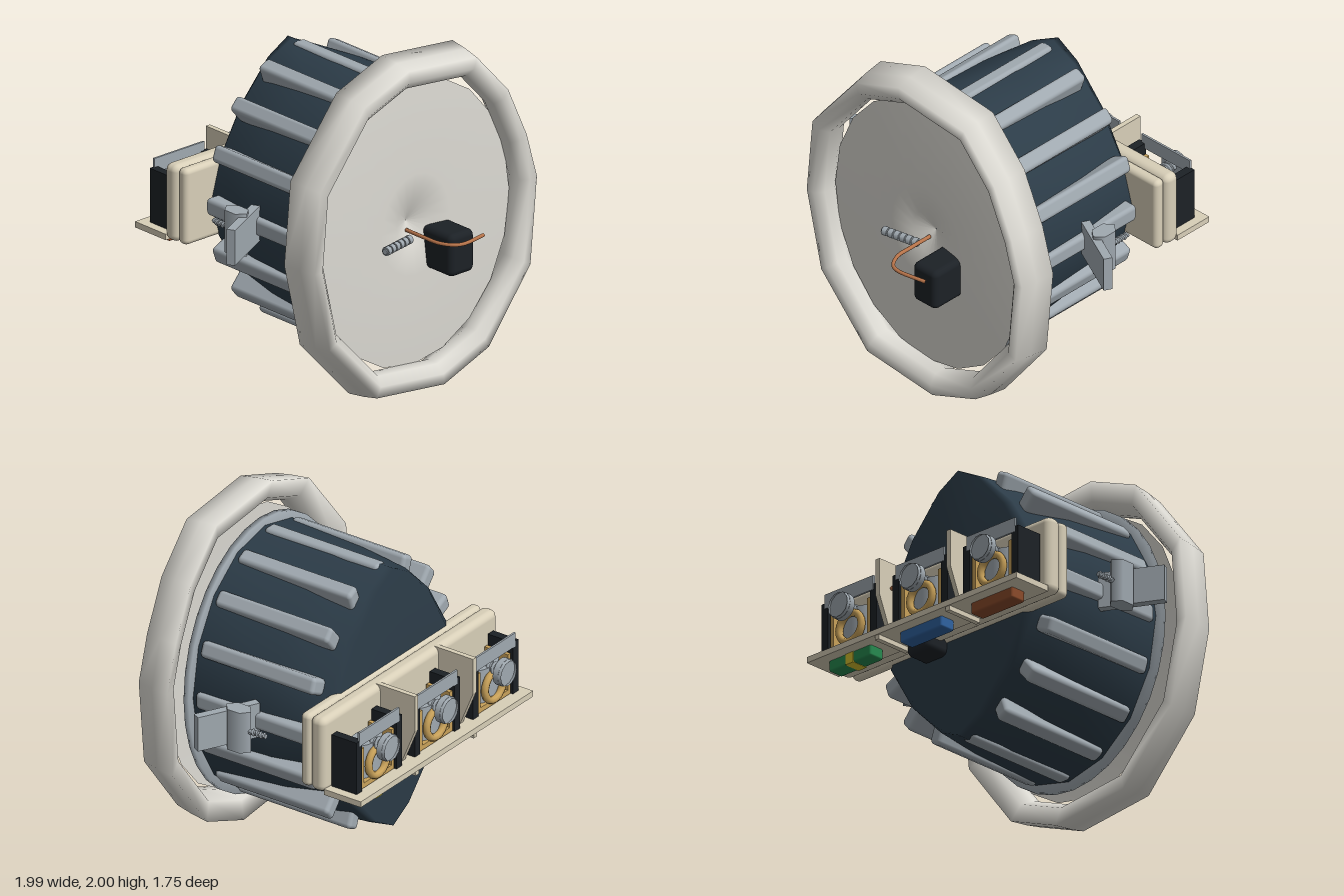
import * as THREE from 'three';
import { RoundedBoxGeometry } from 'three/addons/geometries/RoundedBoxGeometry.js';

const mat = (color, side = THREE.FrontSide) => new THREE.MeshStandardMaterial({ color, side });
const STEEL = mat(0xa0a9b0, THREE.DoubleSide), DARK = mat(0x2c3c48, THREE.DoubleSide), WHITE = mat(0xdcdad3, THREE.DoubleSide);
const CREAM = mat(0xd8cfb8), BLACK = mat(0x1c2126), BRASS = mat(0xc9a25a), COPPER = mat(0xb8744a);
const SQUASH = 0.85; // the lamp is narrower than it is tall

function add(parent, name, geometry, material, x = 0, y = 0, z = 0) {
  const mesh = new THREE.Mesh(geometry, material);
  mesh.name = name;
  mesh.position.set(x, y, z);
  parent.add(mesh);
  return mesh;
}

const box = (w, h, d) => new THREE.BoxGeometry(w, h, d);
const rounded = (w, h, d, r) => new RoundedBoxGeometry(w, h, d, 3, r);
const rod = (r, length, sides = 16) => new THREE.CylinderGeometry(r, r, length, sides).rotateX(Math.PI / 2);

// Revolve a list of [radius, z] around the z axis
function turned(profile, sides) {
  return new THREE.LatheGeometry(profile.map(([r, z]) => new THREE.Vector2(r, z)), sides).rotateX(Math.PI / 2);
}

// Skin a list of equal-length loops of [x, y, z]
function loft(loops, closeLast) {
  const n = loops.length, m = loops[0].length, index = [];
  for (let i = 0; i < (closeLast ? n : n - 1); i++) {
    for (let j = 0; j < m; j++) {
      const a = i * m + j, b = ((i + 1) % n) * m + j;
      const c = i * m + ((j + 1) % m), d = ((i + 1) % n) * m + ((j + 1) % m);
      index.push(a, c, b, b, c, d);
    }
  }
  const g = new THREE.BufferGeometry();
  g.setAttribute('position', new THREE.Float32BufferAttribute(loops.flat(2), 3));
  g.setIndex(index);
  g.computeVertexNormals();
  return g;
}

// Rim section swept around an uneven polygon
function trimGeometry() {
  const outline = [
    [-0.13, 1.0], [-0.47, 0.87], [-0.81, 0.44], [-0.855, -0.05], [-0.74, -0.55], [-0.376, -0.94],
    [0.14, -0.995], [0.48, -0.86], [0.80, -0.44], [0.85, 0.09], [0.77, 0.37], [0.63, 0.68], [0.39, 0.945],
  ];
  const section = [[1, 0.425], [0.985, 0.54], [0.965, 0.64], [0.9, 0.645], [0.85, 0.6], [0.845, 0.53], [0.89, 0.45]];
  return loft(outline.map(([x, y]) => section.map(([s, z]) => [x * s, y * s, z])), true);
}

// Oval at the front, narrowing to a lozenge at the back, closed by a low cap
function bodyGeometry() {
  const ring = (rx, ry, power, z) => Array.from({ length: 16 }, (_, i) => {
    const a = (i / 16) * Math.PI * 2, c = Math.cos(a), s = Math.sin(a);
    return [rx * Math.sign(c) * Math.abs(c) ** power, ry * Math.sign(s) * Math.abs(s) ** power, z];
  });
  return loft([
    ring(0.665, 0.79, 1, 0.39), ring(0.65, 0.795, 1.15, -0.1), ring(0.61, 0.8, 1.35, -0.45),
    ring(0.56, 0.8, 1.4, -0.49), ring(0.001, 0.001, 1, -0.49),
  ], false);
}

// Coil running along z, centred on the origin
function coil(radius, length, turns, wire) {
  const points = [];
  for (let i = 0; i <= turns * 10; i++) {
    const a = (i / 10) * Math.PI * 2;
    points.push(new THREE.Vector3(radius * Math.cos(a), radius * Math.sin(a), (i / (turns * 10) - 0.5) * length));
  }
  return new THREE.TubeGeometry(new THREE.CatmullRomCurve3(points), turns * 12, wire, 5);
}

function lampHousing() {
  const g = new THREE.Group();
  g.name = 'lampHousing';
  add(g, 'body', bodyGeometry(), DARK);
  const oval = new THREE.Group();
  oval.name = 'ovalParts';
  oval.scale.x = SQUASH;
  g.add(oval);
  add(oval, 'flange', turned([[0.74, 0.385], [0.83, 0.385], [0.83, 0.42], [0.74, 0.42]], 32), STEEL);
  add(oval, 'reflector', turned([[0.001, 0.47], [0.14, 0.53], [0.3, 0.555], [0.84, 0.53]], 20), WHITE);
  // Cooling fins
  for (let i = 0; i < 16; i++) {
    const a = (i / 16) * Math.PI * 2;
    const fin = add(oval, 'coolingFin', rounded(0.14, 0.1, 0.77, 0.025), STEEL,
      0.732 * Math.cos(a), 0.732 * Math.sin(a), -0.025);
    fin.rotation.z = a;
  }
  add(g, 'trimRing', trimGeometry(), WHITE);
  return g;
}

function springClip() {
  const g = new THREE.Group();
  g.name = 'mountingClip';
  const plate = add(g, 'clipPlate', box(0.38, 0.21, 0.05), STEEL, 0.815, 0.005, 0.045);
  plate.rotation.y = -0.47;
  const nut = new THREE.CylinderGeometry(0.058, 0.058, 0.25, 6);
  nut.scale(1, 1, 1.45);
  add(g, 'clipNut', nut, STEEL, 0.8, 0.005, -0.025);
  add(g, 'clipScrew', rod(0.014, 0.12, 8), STEEL, 0.8, 0.01, -0.15);
  add(g, 'clipThread', coil(0.014, 0.1, 4, 0.007), STEEL, 0.8, 0.01, -0.155);
  return g;
}

function terminal() {
  const g = new THREE.Group();
  g.name = 'terminal';
  for (const s of [-1, 1]) {
    add(g, 'terminalCheek', box(0.05, 0.32, 0.17), BLACK, s * 0.185, 0.97, -0.705);
    add(g, 'brassSide', box(0.025, 0.25, 0.16), BRASS, s * 0.14, 0.94, -0.7);
  }
  add(g, 'terminalCore', new THREE.CylinderGeometry(0.12, 0.12, 0.24, 20), STEEL, 0, 0.93, -0.7).scale.z = 0.6;
  add(g, 'brassWasher', new THREE.TorusGeometry(0.085, 0.022, 8, 20), BRASS, 0, 0.93, -0.78);
  add(g, 'brassFoot', box(0.29, 0.03, 0.16), BRASS, 0, 0.83, -0.7);
  add(g, 'clampPlate', box(0.37, 0.085, 0.012), STEEL, 0, 1.14, -0.785);
  // Slotted screw: a disc topped by two half discs
  add(g, 'screwShaft', rod(0.03, 0.17), STEEL, 0, 1.035, -0.755);
  add(g, 'screwThread', coil(0.032, 0.15, 5, 0.01), STEEL, 0, 1.035, -0.745);
  add(g, 'screwHead', rod(0.079, 0.035, 24), STEEL, 0, 1.035, -0.845);
  for (const s of [0, 1]) {
    const half = new THREE.CylinderGeometry(0.074, 0.079, 0.02, 12, 1, 0.15, Math.PI - 0.3).rotateX(-Math.PI / 2);
    add(g, 'screwHeadHalf', half, STEEL, 0, 1.035, -0.87).rotation.z = s * Math.PI + 1.4;
  }
  return g;
}

function terminalBlock() {
  const g = new THREE.Group();
  g.name = 'terminalBlock';
  add(g, 'blockBase', rounded(1.62, 0.455, 0.1, 0.04), CREAM, 0, 1.008, -0.56);
  add(g, 'blockMount', rounded(1.6, 0.45, 0.07, 0.03), CREAM, 0, 1.008, -0.475);
  add(g, 'blockTray', box(1.6, 0.035, 0.25), CREAM, 0, 0.79, -0.73);
  // Dividers taper towards their outer edge at the bottom
  const fence = new THREE.Shape([[-0.56, 0.79], [-0.56, 1.235], [-0.845, 1.235], [-0.845, 1.02], [-0.75, 0.79]]
    .map(([z, y]) => new THREE.Vector2(-z, y)));
  for (const x of [-0.27, 0.27]) {
    const geo = new THREE.ExtrudeGeometry(fence, { depth: 0.03, bevelEnabled: false }).rotateY(Math.PI / 2);
    add(g, 'divider', geo, CREAM, x - 0.015, 0, 0);
    add(g, 'lowerDivider', box(0.03, 0.03, 0.24), CREAM, x, 0.76, -0.73);
  }
  // Three terminals with coloured wire markers beneath
  [0x8a4a2a, 0x2f62a0, 0x26894f].forEach((color, i) => {
    const x = (i - 1) * 0.54;
    const t = terminal();
    t.position.x = x;
    g.add(t);
    add(g, 'wireMarker', rounded(0.32, 0.07, 0.1, 0.012), mat(color), x, 0.745, -0.735);
  });
  add(g, 'earthStripe', box(0.06, 0.074, 0.106), mat(0xd8c22e), 0.54, 0.745, -0.736);
  return g;
}

function wiring() {
  const g = new THREE.Group();
  g.name = 'wiring';
  add(g, 'cable', rounded(0.18, 0.25, 1.38, 0.035), BLACK, 0.175, 0.835, 0.06);
  const wire = (name, path) => add(g, name, new THREE.TubeGeometry(
    new THREE.CatmullRomCurve3(path.map((p) => new THREE.Vector3(...p))), 30, 0.011, 8), COPPER);
  wire('copperWire', [[-0.02, 0.955, 0.5], [-0.02, 0.955, 0.64], [-0.015, 0.955, 0.76], [0.03, 0.955, 0.84], [0.08, 0.955, 0.86], [0.26, 0.945, 0.82]]);
  wire('copperTail', [[0.12, 0.92, -0.55], [0.12, 0.98, -0.7], [0.17, 1.08, -0.76], [0.26, 1.08, -0.75]]);
  // Threaded pin lying across the reflector
  const pin = new THREE.Group();
  pin.name = 'threadedPin';
  pin.position.set(-0.16, 0.928, 0.585);
  pin.rotation.y = 0.2;
  g.add(pin);
  add(pin, 'pinCore', rod(0.017, 0.24, 8).rotateY(Math.PI / 2), STEEL);
  for (let i = 0; i < 6; i++) add(pin, 'pinThread', rod(0.026, 0.03, 8).rotateY(Math.PI / 2), STEEL, (i - 2.5) * 0.039);
  return g;
}

export function createModel() {
  const model = new THREE.Group();
  model.name = 'recessedDownlight';
  const housing = lampHousing();
  housing.position.y = 1;
  model.add(housing);
  for (const s of [-1, 1]) {
    const clip = springClip();
    clip.position.y = 1;
    clip.scale.x = s;
    model.add(clip);
  }
  model.add(terminalBlock(), wiring());
  return model;
}
